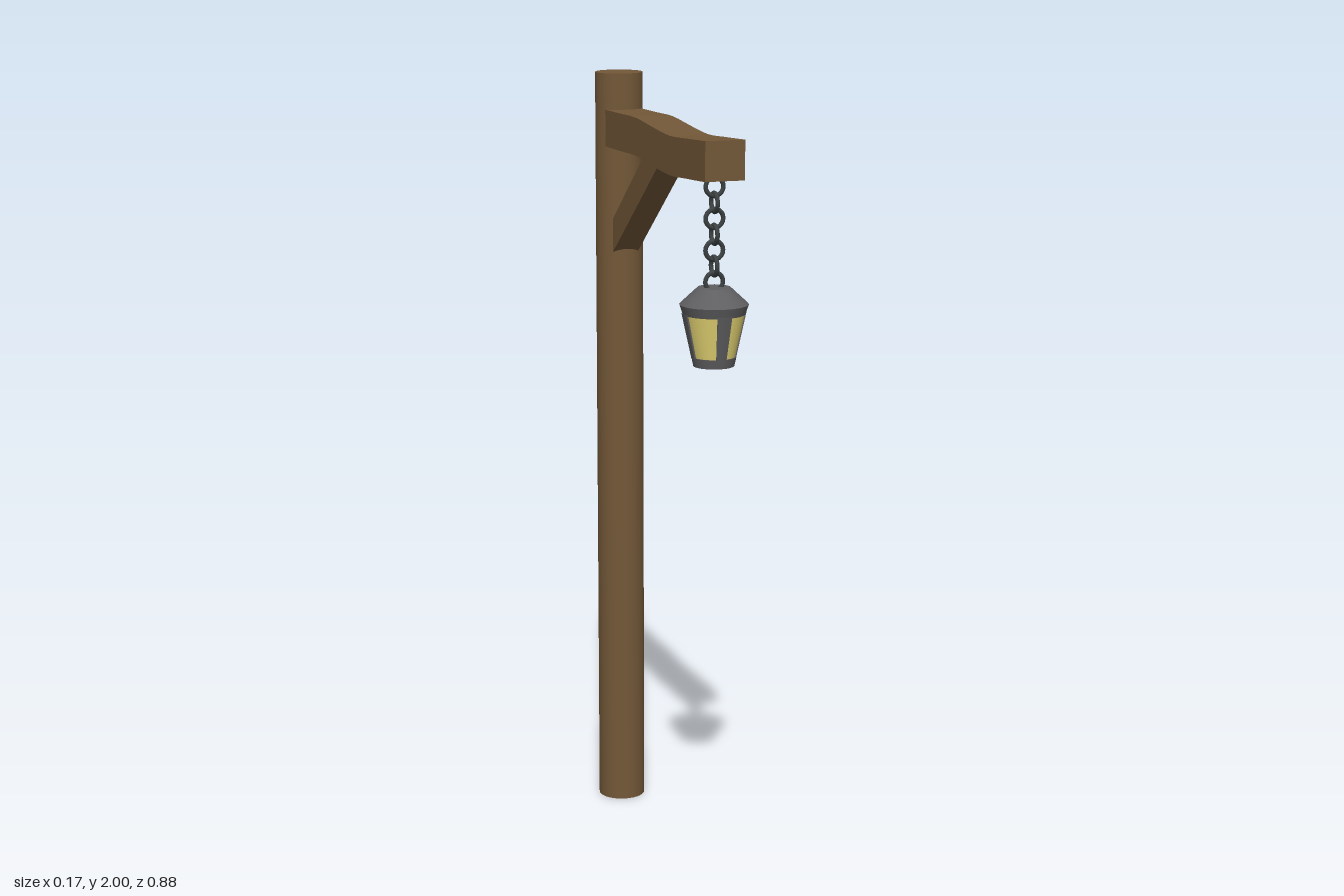
import * as THREE from 'three';

const mat = (color) => new THREE.MeshStandardMaterial({ color });

export function createModel() {
  const root = new THREE.Group();
  const wood = mat(0x735838), metal = mat(0x5f5f61), chainMetal = mat(0x3c4141), glass = mat(0xe6d674);

  const add = (parent, name, geometry, material) => {
    const mesh = new THREE.Mesh(geometry, material);
    mesh.name = name;
    parent.add(mesh);
    return mesh;
  };
  // Side profile of [z, y] points, extruded to a width centred on x = 0
  const slab = (points, width) => {
    const shape = new THREE.Shape(points.map(([z, y]) => new THREE.Vector2(z, y)));
    return new THREE.ExtrudeGeometry(shape, { depth: width, bevelEnabled: false })
      .translate(0, 0, -width / 2).rotateY(-Math.PI / 2);
  };
  // Lathe whose corners stay sharp: each [radius, y] pair becomes its own band
  const turned = (parent, name, profile, material) => {
    for (let i = 0; i < profile.length - 1; i++) {
      const pair = [profile[i], profile[i + 1]].map(([r, y]) => new THREE.Vector2(r, y));
      add(parent, name, new THREE.LatheGeometry(pair, 32), material);
    }
  };

  // Post
  add(root, 'post', new THREE.CylinderGeometry(0.0625, 0.0625, 2, 32), wood).position.set(0, 1, -0.3775);

  // Gently wavy beam
  const wave = new THREE.SplineCurve([[-0.34, 1.858], [-0.21, 1.86], [-0.09, 1.862], [0.04, 1.852],
    [0.17, 1.844], [0.29, 1.85], [0.425, 1.858]].map(([z, y]) => new THREE.Vector2(z, y))).getPoints(18);
  const lower = wave.map((p) => [p.x, p.y - 0.048]);
  const upper = wave.map((p) => [p.x, p.y + 0.048]).reverse();
  add(root, 'beam', slab([...lower, ...upper], 0.1), wood);

  // Diagonal brace
  add(root, 'brace', slab([[-0.33, 1.53], [0.064, 1.82], [-0.063, 1.82], [-0.33, 1.618]], 0.07), wood);

  // Lantern hanging from the beam
  const lantern = new THREE.Group();
  lantern.name = 'lantern';
  lantern.position.z = 0.353;
  root.add(lantern);

  // Chain: links turned a quarter against their neighbours
  for (let i = 0; i < 7; i++) {
    const link = add(lantern, 'chainLink', new THREE.TorusGeometry(0.0225, 0.0058, 8, 20), chainMetal);
    link.position.y = 1.789 - i * 0.0382;
    link.rotation.y = i % 2 ? Math.PI / 2 : 0;
  }

  // Roof, base and glass
  turned(lantern, 'roof', [[0, 1.482], [0.076, 1.482], [0.084, 1.506], [0.04, 1.547], [0, 1.547]], metal);
  turned(lantern, 'base', [[0, 1.355], [0.05, 1.355], [0.055, 1.378], [0, 1.378]], metal);
  turned(lantern, 'glass', [[0.051, 1.375], [0.075, 1.486]], glass);

  // Four frame bars, wider at the top, curved around the glass
  for (let i = 0; i < 4; i++) {
    const bar = new THREE.CylinderGeometry(0.079, 0.0545, 0.112, 6, 1, true, -0.24, 0.48);
    const inner = new THREE.CylinderGeometry(0.074, 0.05, 0.112, 6, 1, true, -0.24, 0.48);
    const frameBar = new THREE.Group();
    frameBar.name = 'frameBar';
    frameBar.position.y = 1.43;
    frameBar.rotation.y = i * Math.PI / 2;
    lantern.add(frameBar);
    add(frameBar, 'barFace', bar, metal);
    // Side walls joining the bar face to the glass
    const o = bar.attributes.position, n = inner.attributes.position;
    for (const [top, bottom, flip] of [[0, 7, false], [6, 13, true]]) {
      const at = (a, k) => new THREE.Vector3().fromBufferAttribute(a, k);
      const quad = [at(n, top), at(n, bottom), at(o, bottom), at(o, top)];
      if (flip) quad.reverse();
      const wall = new THREE.BufferGeometry().setFromPoints(quad);
      wall.setIndex([0, 1, 2, 0, 2, 3]);
      wall.computeVertexNormals();
      add(frameBar, 'barSide', wall, metal);
    }
  }
  return root;
}
